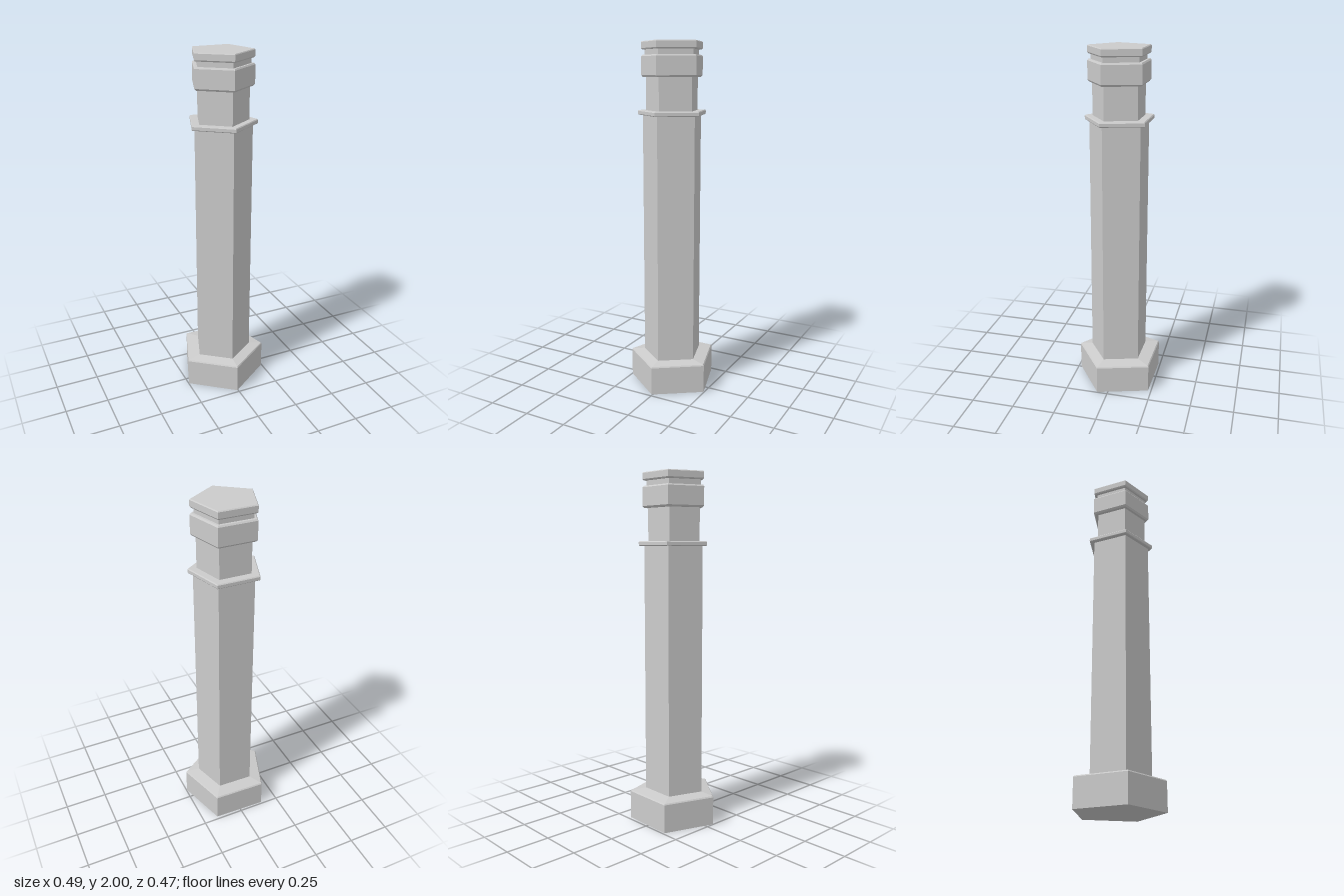
import * as THREE from 'three';

const SIDES = 5;
const TURN = THREE.MathUtils.degToRad(-1.4);

// Five-sided turned part from a [radius, height] profile, bottom to top.
// Each cross-section is shifted so its bounds stay centred on the axis.
function pentagonPart(name, profile, material) {
  const points = profile.map(([r, y]) => new THREE.Vector2(r, y));
  const geometry = new THREE.LatheGeometry(points, SIDES, TURN, Math.PI * 2);
  const pos = geometry.attributes.position;
  for (let i = 0; i < pos.count; i++) {
    const r = Math.hypot(pos.getX(i), pos.getZ(i));
    pos.setX(i, pos.getX(i) + r * 0.004);
    pos.setZ(i, pos.getZ(i) - r * 0.096);
  }
  const flat = geometry.toNonIndexed();
  flat.computeVertexNormals();
  const mesh = new THREE.Mesh(flat, material);
  mesh.name = name;
  return mesh;
}

export function createModel() {
  const group = new THREE.Group();
  group.name = 'pentagonalPost';
  const grey = new THREE.MeshStandardMaterial({ color: 0xcccccc, flatShading: true });

  const parts = {
    // Wide foot with a small bevel and a gently sloping top
    base: [[0, 0], [0.26, 0], [0.26, 0.163], [0.254, 0.17], [0.175, 0.181]],
    shaft: [[0.175, 0.181], [0.175, 1.597]],
    // Thin projecting ledge above the shaft
    collar: [[0.175, 1.597], [0.2, 1.597], [0.204, 1.601], [0.204, 1.618], [0.199, 1.623], [0.154, 1.623]],
    neck: [[0.154, 1.623], [0.154, 1.806]],
    // Thick bevelled band
    band: [[0.154, 1.806], [0.174, 1.806], [0.183, 1.816], [0.183, 1.918], [0.176, 1.926], [0.161, 1.926]],
    groove: [[0.161, 1.926], [0.161, 1.955]],
    cap: [[0.161, 1.955], [0.176, 1.955], [0.182, 1.962], [0.182, 1.995], [0.177, 2], [0, 2]],
  };
  for (const [name, profile] of Object.entries(parts)) {
    group.add(pentagonPart(name, profile, grey));
  }
  return group;
}
